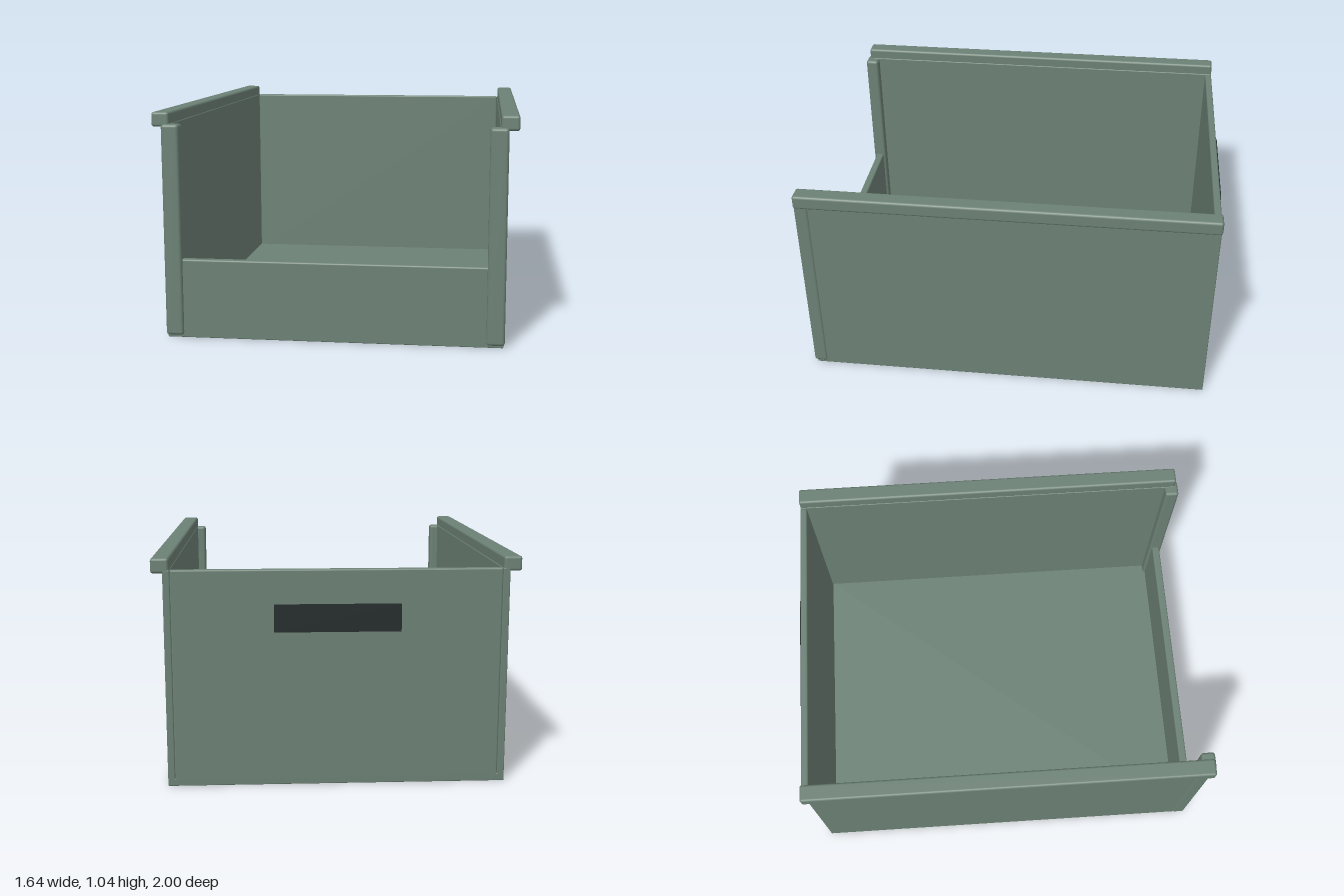
import * as THREE from 'three';
import { RoundedBoxGeometry } from 'three/addons/geometries/RoundedBoxGeometry.js';

export function createModel() {
  const bin = new THREE.Group();
  bin.name = 'openFrontBin';

  const green = new THREE.MeshStandardMaterial({ color: 0x6c8175 });
  green.name = 'sage green';
  const dark = new THREE.MeshStandardMaterial({ color: 0x232a2b });
  dark.name = 'near black';

  // Softly bevelled box given by its extents on each axis
  function block(name, [x0, x1], [y0, y1], [z0, z1], radius, material = green) {
    const size = [x1 - x0, y1 - y0, z1 - z0];
    const geometry = radius
      ? new RoundedBoxGeometry(...size, 2, radius)
      : new THREE.BoxGeometry(...size);
    const mesh = new THREE.Mesh(geometry, material);
    mesh.name = name;
    mesh.position.set((x0 + x1) / 2, (y0 + y1) / 2, (z0 + z1) / 2);
    bin.add(mesh);
  }

  // Same box on the left (+x) and right (-x)
  function pair(name, [inner, outer], y, z, radius) {
    block(name + 'Left', [inner, outer], y, z, radius);
    block(name + 'Right', [-outer, -inner], y, z, radius);
  }

  // Tray: floor, back wall and low front lip
  block('floor', [-0.77, 0.77], [0, 0.035], [-0.972, 0.985], 0.004);
  block('backWall', [-0.738, 0.738], [0.005, 0.99], [-0.972, -0.938], 0.008);
  block('frontLip', [-0.738, 0.738], [0.005, 0.368], [0.945, 0.985], 0.008);

  // Sides, with rails along the top and posts at the front
  pair('sideWall', [0.738, 0.77], [0.003, 0.99], [-0.972, 0.985], 0.005);
  pair('topRail', [0.741, 0.822], [0.975, 1.042], [-0.972, 0.985], 0.012);
  pair('frontPost', [0.694, 0.776], [0.012, 0.988], [0.932, 1.0], 0.014);

  // Dark grip plate standing off the back wall
  block('gripPlate', [-0.283, 0.283], [0.713, 0.837], [-1.0, -0.988], 0, dark);

  return bin;
}
